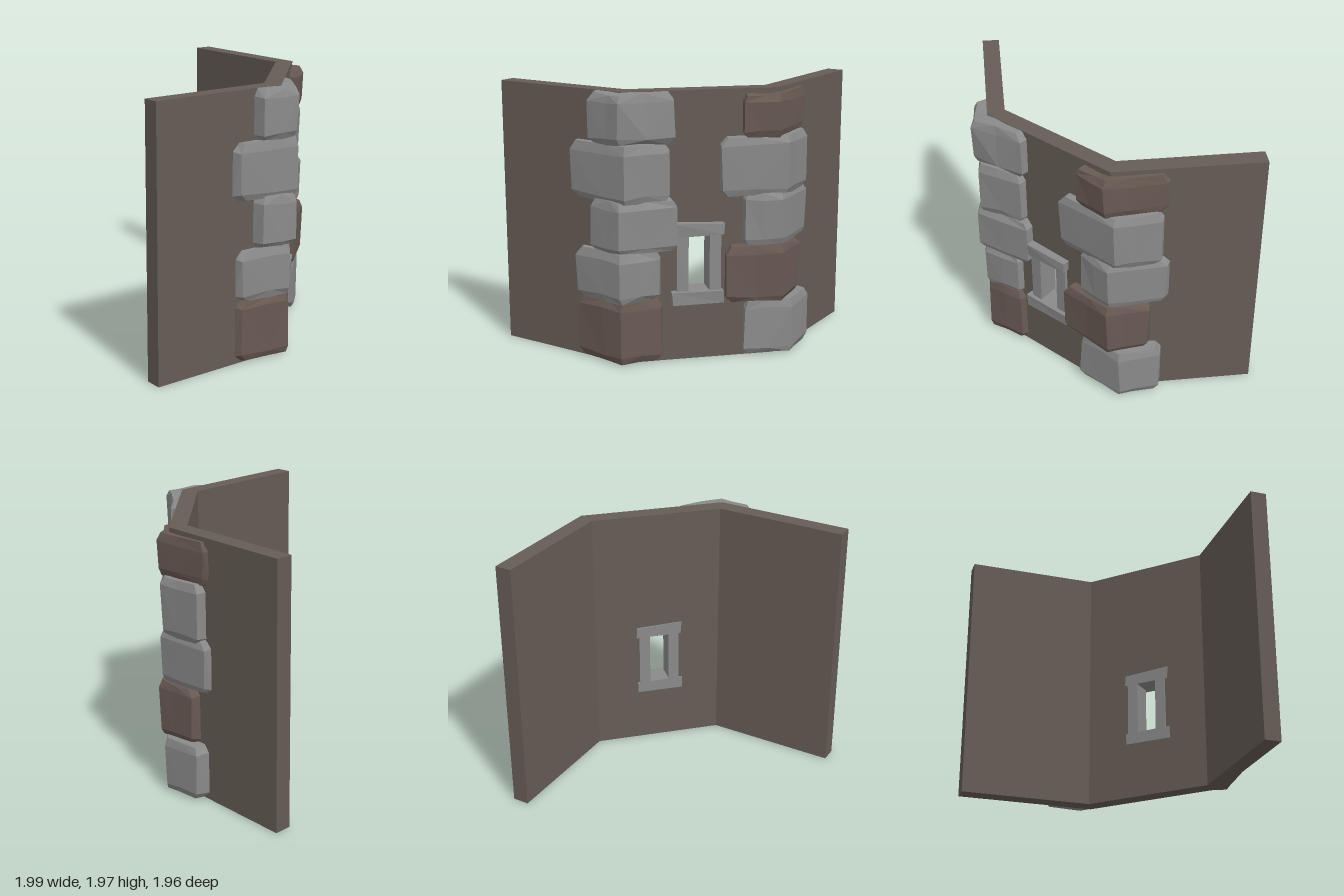
import * as THREE from 'three';

export function createModel() {
  const group = new THREE.Group();
  const mat = (name, color) => {
    const m = new THREE.MeshStandardMaterial({ color });
    m.name = name;
    return m;
  };
  const plaster = mat('dark plaster', 0x655c55);
  const grey = mat('grey stone', 0x8a8a8a);
  const brown = mat('brown stone', 0x695a53);

  let seed = 11;
  const rnd = (a) => {
    seed = (seed * 16807) % 2147483647;
    return (seed / 2147483647 - 0.5) * 2 * a;
  };

  // Loft through loops of [x, y, z] (counter-clockwise from above, bottom to
  // top) with flat faces; caps fan out from the last point of each loop.
  function loft(name, loops, material, flip = false) {
    const pos = [];
    const tri = (a, b, c) => pos.push(...a, ...(flip ? c : b), ...(flip ? b : c));
    const n = loops[0].length;
    for (let k = 0; k < loops.length - 1; k++) {
      const lo = loops[k], hi = loops[k + 1];
      for (let i = 0; i < n; i++) {
        const j = (i + 1) % n;
        if ((i + k) % 2) {
          tri(lo[i], lo[j], hi[j]);
          tri(lo[i], hi[j], hi[i]);
        } else {
          tri(lo[i], lo[j], hi[i]);
          tri(lo[j], hi[j], hi[i]);
        }
      }
    }
    const bottom = loops[0], top = loops[loops.length - 1];
    for (let i = 0; i < n - 2; i++) {
      tri(top[n - 1], top[i], top[i + 1]);
      tri(bottom[n - 1], bottom[i + 1], bottom[i]);
    }
    const geo = new THREE.BufferGeometry();
    geo.setAttribute('position', new THREE.Float32BufferAttribute(pos, 3));
    geo.computeVertexNormals();
    const mesh = new THREE.Mesh(geo, material);
    mesh.name = name;
    group.add(mesh);
  }

  // Wall: two wings joined by a diagonal with a window opening
  const H = 1.97;
  const mix = (a, b, t) => [a[0] + (b[0] - a[0]) * t, a[1] + (b[1] - a[1]) * t];
  const i0 = [0.01, 0.735], i1 = [0.73, 0.03];
  const o0 = [0.06, 0.86], o1 = [0.857, 0.08];
  const iA = mix(i0, i1, 0.35), iB = mix(i0, i1, 0.628);
  const oA = mix(o0, o1, 0.364), oB = mix(o0, o1, 0.615);
  const prism = (name, plan, y0, y1) =>
    loft(name, [y0, y1].map((y) => plan.map(([x, z]) => [x, y, z])), plaster);
  prism('rightWall', [[-1, 0.735], [-1, 0.86], o0, oA, iA, i0], 0, H);
  prism('leftWall', [iB, oB, o1, [0.857, -0.98], [0.73, -0.98], i1], 0, H);
  prism('wallBelowWindow', [iA, oA, oB, iB], 0, 0.48);
  prism('wallAboveWindow', [iA, oA, oB, iB], 0.98, H);

  // Corner stone wrapping a wall corner: p runs along the wing, q points out.
  // The other corner is the same with x and z swapped.
  function cornerStone(name, swap, [wing, y0, y1, cp, cq, dp, dq], material) {
    const inner = [0.045, 0.8];
    const front = [wing + 0.02, cq - 0.035];
    const side = [dp, dq + 0.045];
    const corner = [cp, cq];
    const outline = [
      [wing, 0.85], front, mix(front, corner, 0.6), corner,
      mix(corner, side, 0.5), side, [0.92 - dq, dq], inner,
    ];
    const levels = [
      [y0, 0.13], [y0 + 0.045, 0.01], [y1 - 0.055, 0.01], [y1, 0.13],
    ];
    const loops = levels.map(([y, inset], k) => outline.map((pt, i) => {
      const fixed = i === outline.length - 1;
      const outer = i > 0 && i < 6;
      let [p, q] = fixed ? pt : mix(pt, inner, inset + (outer ? Math.abs(rnd(0.06)) : 0));
      if (outer) p += rnd(0.01);
      const inward = k < 2 ? 1 : -1;
      const yy = y + (outer ? inward * Math.abs(rnd(0.02)) : 0);
      return swap ? [q, yy, p] : [p, yy, q];
    }));
    loft(name, loops, material, swap);
  }

  // Each row: wing end, bottom, top, corner p, corner q, diagonal end p, q
  const rightColumn = [
    [-0.345, 0.01, 0.48, 0.1, 0.945, 0.3, 0.655],
    [-0.34, 0.46, 0.84, 0.1, 0.95, 0.28, 0.665],
    [-0.185, 0.83, 1.22, 0.125, 0.985, 0.395, 0.585],
    [-0.375, 1.19, 1.61, 0.145, 0.96, 0.345, 0.615],
    [-0.185, 1.6, 1.97, 0.12, 0.985, 0.37, 0.595],
  ];
  const leftColumn = [
    [-0.3, 0.01, 0.43, 0.03, 1.0, 0.295, 0.685],
    [-0.215, 0.41, 0.85, 0.12, 0.96, 0.405, 0.585],
    [-0.345, 0.83, 1.24, 0.11, 0.94, 0.285, 0.675],
    [-0.295, 1.2, 1.64, 0.065, 0.96, 0.415, 0.555],
    [-0.335, 1.62, 1.94, 0.14, 0.92, 0.315, 0.67],
  ];
  rightColumn.forEach((row, i) =>
    cornerStone(`rightCornerStone${i + 1}`, false, row, i === 0 ? brown : grey));
  leftColumn.forEach((row, i) =>
    cornerStone(`leftCornerStone${i + 1}`, true, row, i === 1 || i === 4 ? brown : grey));

  // Window blocks through the diagonal: u along the wall, s = x + z outward
  function block(name, u0, u1, s1, y0, y1, tilt, rough) {
    const s0 = 0.736, w = Math.SQRT2;
    const loops = [y0, y1].map((y, k) =>
      [[u0, s1], [u1, s1], [u1, s0], [u0, s0]].map(([u, s], i) => {
        const uu = u + rnd(rough);
        const ss = s + (i < 2 ? rnd(rough) : 0);
        const yy = y + (k && u === u1 ? -tilt : 0) + rnd(rough / 2);
        return [(ss + uu * w) / 2, yy, (ss - uu * w) / 2];
      }));
    loft(name, loops, grey);
  }
  block('windowRightJamb', -0.18, -0.095, 0.965, 0.5, 0.96, 0, 0.003);
  block('windowLeftJamb', 0.06, 0.145, 0.965, 0.5, 0.96, 0, 0.003);
  block('windowLintel', -0.2, 0.16, 1.015, 0.935, 1.035, 0.015, 0.008);
  block('windowSill', -0.215, 0.16, 1.005, 0.43, 0.525, 0.005, 0.008);

  return group;
}
